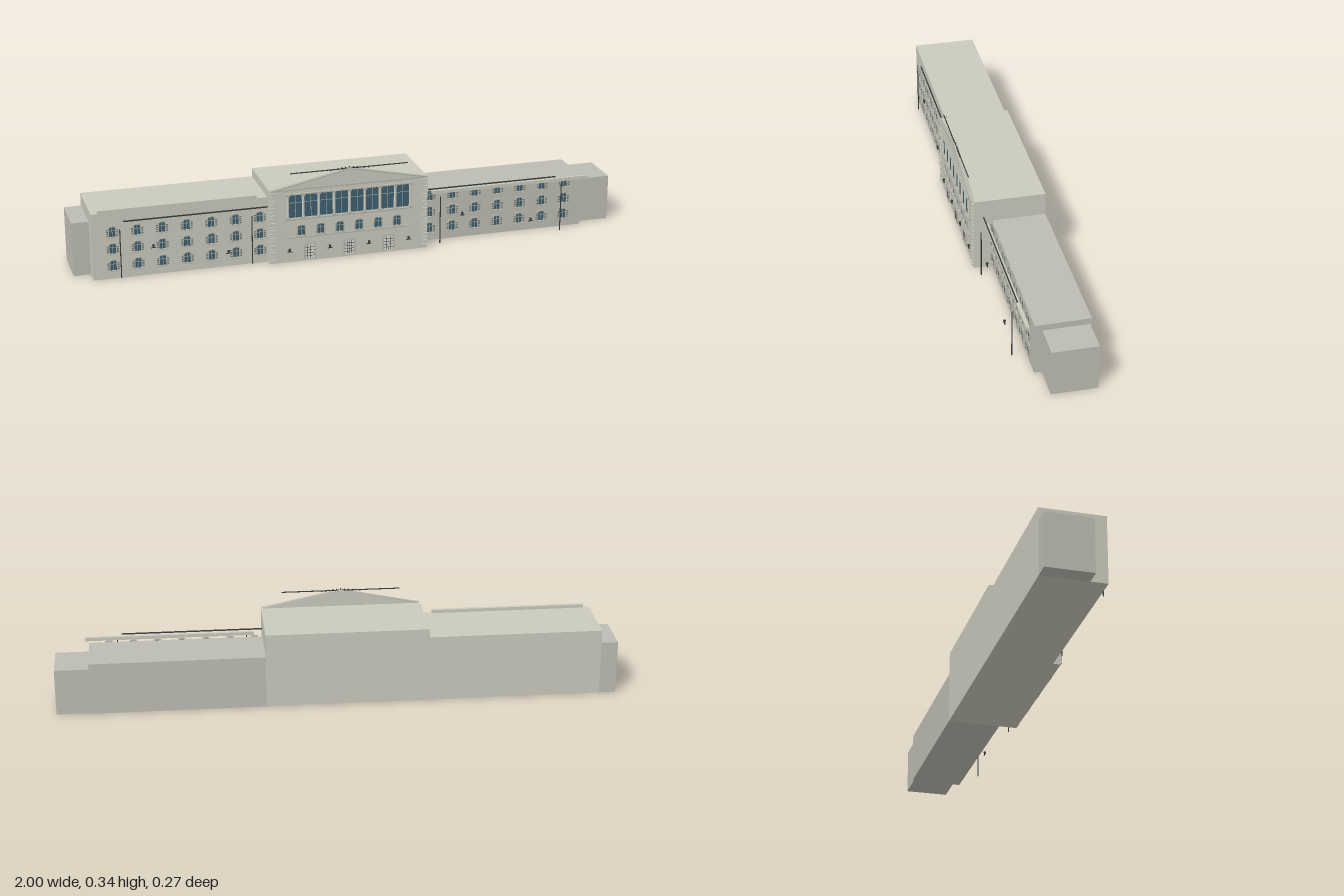
import * as THREE from 'three';

const mat = (color) => new THREE.MeshStandardMaterial({ color, flatShading: true });
const STONE = mat(0xc9c9bc), GREY = mat(0xbcbcb3), TRIM = mat(0xb4b4a8);
const GLASS = mat(0x3f5f70), DARK = mat(0x3a3d3d), PALE = mat(0xdcdcd2);
const CX = -0.03; // axis of the central block

// Box given by its limits on each axis
function box(parent, name, material, x0, x1, y0, y1, z0, z1) {
  const m = new THREE.Mesh(new THREE.BoxGeometry(x1 - x0, y1 - y0, z1 - z0), material);
  m.position.set((x0 + x1) / 2, (y0 + y1) / 2, (z0 + z1) / 2);
  m.name = name;
  parent.add(m);
  return m;
}

// Rectangle with a segmental arch on top, standing on y = 0
function archPath(P, w, h, rise, y0 = 0) {
  const p = new P();
  p.moveTo(-w / 2, y0);
  p.lineTo(w / 2, y0);
  p.lineTo(w / 2, h - rise);
  p.quadraticCurveTo(w / 2, h, 0, h);
  p.quadraticCurveTo(-w / 2, h, -w / 2, h - rise);
  p.closePath();
  return p;
}

function extrude(parent, name, material, shape, depth) {
  const g = new THREE.ExtrudeGeometry(shape, { depth, bevelEnabled: false, curveSegments: 4 });
  const m = new THREE.Mesh(g, material);
  m.name = name;
  parent.add(m);
  return m;
}

// Arched window: glass, surround, glazing bars, sill and optional shutters
function makeWindow(w, h, shutters) {
  const g = new THREE.Group();
  g.name = 'window';
  extrude(g, 'glass', GLASS, archPath(THREE.Shape, w, h, w * 0.35), 0.002);
  const frame = archPath(THREE.Shape, w + 0.007, h + 0.004, w * 0.38, -0.002);
  frame.holes.push(archPath(THREE.Path, w, h, w * 0.35));
  extrude(g, 'surround', TRIM, frame, 0.005);
  box(g, 'mullion', TRIM, -0.0008, 0.0008, 0, h - 0.001, 0.002, 0.003);
  box(g, 'transom', TRIM, -w / 2, w / 2, h * 0.6, h * 0.6 + 0.0015, 0.002, 0.003);
  box(g, 'sill', TRIM, -w / 2 - 0.006, w / 2 + 0.006, -0.004, -0.001, 0, 0.008);
  if (shutters) for (const s of [-1, 1]) {
    const x = s * (w / 2 + 0.0065);
    box(g, 'shutter', TRIM, x - 0.004, x + 0.004, 0.002, h * 0.8, 0, 0.006);
    for (let i = 0; i < 4; i++) {
      const y = 0.005 + i * h * 0.19;
      box(g, 'slat', DARK, x - 0.003, x + 0.003, y, y + 0.0015, 0.006, 0.007);
    }
  }
  return g;
}

// Wall lamp with bracket
function makeLamp() {
  const g = new THREE.Group();
  g.name = 'wallLamp';
  box(g, 'bracket', DARK, -0.009, 0.009, -0.001, 0.001, -0.002, 0.002);
  const body = new THREE.Mesh(new THREE.CylinderGeometry(0.005, 0.003, 0.01, 6), DARK);
  body.name = 'lantern';
  body.position.y = 0.006;
  g.add(body);
  return g;
}

function place(parent, item, x, y, z) {
  item.position.set(x, y, z);
  parent.add(item);
}

// Wing facade: three rows of seven windows
function windowGrid(parent, x0, z) {
  for (let r = 0; r < 3; r++) for (let c = 0; c < 7; c++)
    place(parent, makeWindow(0.022, 0.036, true), x0 + c * 0.0867, 0.032 + r * 0.0615, z);
}

// Door with pale leaf and lattice
function makeDoor() {
  const g = new THREE.Group();
  g.name = 'door';
  const w = 0.034, h = 0.056;
  extrude(g, 'doorLeaf', PALE, archPath(THREE.Shape, w, h, 0.008), 0.003);
  const frame = archPath(THREE.Shape, w + 0.008, h + 0.005, 0.009);
  frame.holes.push(archPath(THREE.Path, w, h, 0.008, 0.0005));
  extrude(g, 'doorSurround', TRIM, frame, 0.006);
  for (let i = -1; i <= 1; i++)
    box(g, 'latticeUpright', DARK, i * 0.0085 - 0.0006, i * 0.0085 + 0.0006, 0.002, h - 0.004, 0.003, 0.004);
  for (let i = 1; i < 5; i++)
    box(g, 'latticeRail', DARK, -w / 2, w / 2, i * 0.0105, i * 0.0105 + 0.0012, 0.003, 0.004);
  return g;
}

function makeCentre() {
  const g = new THREE.Group();
  g.name = 'centralBlock';
  const z = 0.122;
  box(g, 'centralBody', STONE, -0.32, 0.26, 0, 0.273, -0.133, z);

  // Pediment with raking mouldings
  const half = 0.287, rise = 0.06;
  const tri = new THREE.Shape([[-half, 0], [half, 0], [0, rise]].map((p) => new THREE.Vector2(...p)));
  extrude(g, 'pediment', STONE, tri, 0.011).position.set(CX, 0.273, 0.117);
  for (const s of [-1, 1]) {
    const rake = box(g, 'rakingMoulding', TRIM, -0.142, 0.142, -0.002, 0.002, 0, 0.014);
    rake.position.set(CX + s * half / 2, 0.273 + rise / 2 - 0.002, 0.124);
    rake.rotation.z = -s * Math.atan2(rise, half);
  }
  box(g, 'pedimentBase', TRIM, -0.316, 0.256, 0.27, 0.275, z, 0.131);

  // Crest rod and ornament
  box(g, 'crestRod', DARK, CX - 0.215, CX + 0.215, 0.329, 0.332, 0.122, 0.125);
  for (let i = -5; i <= 5; i++) {
    const bead = new THREE.Mesh(new THREE.OctahedronGeometry(0.004), DARK);
    bead.name = 'crestBead';
    bead.position.set(CX + i * 0.014, 0.335 - Math.abs(i) * 0.0012, 0.1235);
    g.add(bead);
  }

  // Tall glazed bays between columns
  const x0 = -0.255, pitch = 0.45 / 8;
  for (let i = 0; i < 8; i++) {
    const a = x0 + i * pitch;
    box(g, 'tallWindow', GLASS, a + 0.005, a + pitch - 0.005, 0.167, 0.25, z, z + 0.002);
    box(g, 'tallMullion', TRIM, a + pitch / 2 - 0.0008, a + pitch / 2 + 0.0008, 0.167, 0.25, z, z + 0.003);
    box(g, 'tallTransom', TRIM, a + 0.005, a + pitch - 0.005, 0.222, 0.2235, z, z + 0.003);
  }
  for (let i = 0; i <= 8; i++) {
    const x = x0 + i * pitch;
    const col = new THREE.Mesh(new THREE.CylinderGeometry(0.0045, 0.005, 0.083, 10), STONE);
    col.name = 'column';
    col.position.set(x, 0.2085, z + 0.003);
    g.add(col);
    box(g, 'capital', TRIM, x - 0.007, x + 0.007, 0.247, 0.253, z, z + 0.009);
    box(g, 'columnBase', TRIM, x - 0.007, x + 0.007, 0.164, 0.169, z, z + 0.009);
  }
  box(g, 'bayLintel', TRIM, -0.262, 0.202, 0.253, 0.257, z, z + 0.011);
  box(g, 'baySill', TRIM, -0.262, 0.202, 0.159, 0.164, z, z + 0.009);

  // Middle windows, ledge, doors and lamps
  for (let i = 0; i < 6; i++) place(g, makeWindow(0.026, 0.036, false), CX + (i - 2.5) * 0.0705, 0.1, z);
  box(g, 'ledge', TRIM, -0.257, 0.197, 0.091, 0.095, z, z + 0.008);
  for (let i = -1; i <= 1; i++) place(g, makeDoor(), CX + i * 0.145, 0.008, z);
  for (const d of [-0.22, -0.0725, 0.0725, 0.22]) place(g, makeLamp(), CX + d, 0.04, z + 0.004);

  // Corner quoins, alternating long and short
  for (const s of [-1, 1]) for (let i = 0; i < 19; i++) {
    const outer = CX + s * 0.29, inner = outer - s * (i % 2 ? 0.012 : 0.02);
    box(g, 'quoin', STONE, Math.min(outer, inner), Math.max(outer, inner),
      0.006 + i * 0.0138, 0.016 + i * 0.0138, z, z + 0.005);
  }
  return g;
}

export function createModel() {
  const model = new THREE.Group();
  model.name = 'longBuilding';
  model.add(makeCentre());

  // Right-hand side of the front (+x): wing, end block and detached cornice
  const plus = new THREE.Group();
  plus.name = 'leftWing';
  box(plus, 'wingBody', GREY, 0.26, 0.88, 0, 0.19, -0.133, 0.057);
  box(plus, 'endBlock', GREY, 0.88, 1, 0, 0.168, -0.127, 0.031);
  windowGrid(plus, 0.29, 0.057);
  box(plus, 'cornice', STONE, 0.29, 0.895, 0.188, 0.2, 0.077, 0.089);
  box(plus, 'gutter', DARK, 0.26, 0.765, 0.205, 0.209, 0.085, 0.089);
  model.add(plus);

  // The -x side: taller and deeper wing with its end block
  const minus = new THREE.Group();
  minus.name = 'rightWing';
  box(minus, 'wingBody', STONE, -0.94, -0.32, 0, 0.242, -0.133, 0.095);
  box(minus, 'endBlock', GREY, -1, -0.94, 0, 0.195, -0.133, 0.035);
  windowGrid(minus, -0.87, 0.095);
  box(minus, 'cornice', STONE, -0.918, -0.36, 0.242, 0.254, 0.087, 0.099);
  box(minus, 'gutter', DARK, -0.83, -0.32, 0.205, 0.209, 0.095, 0.099);
  model.add(minus);

  // Downpipes and wall lamps
  for (const x of [-0.845, -0.38, 0.315, 0.78]) {
    const pipe = new THREE.Mesh(new THREE.CylinderGeometry(0.002, 0.002, 0.178, 6), DARK);
    pipe.name = 'downpipe';
    place(model, pipe, x, 0.094, 0.108);
  }
  for (const [x, y] of [[-0.73, 0.103], [-0.465, 0.052], [0.4, 0.103], [0.665, 0.052]])
    place(model, makeLamp(), x, y, 0.106);
  return model;
}
